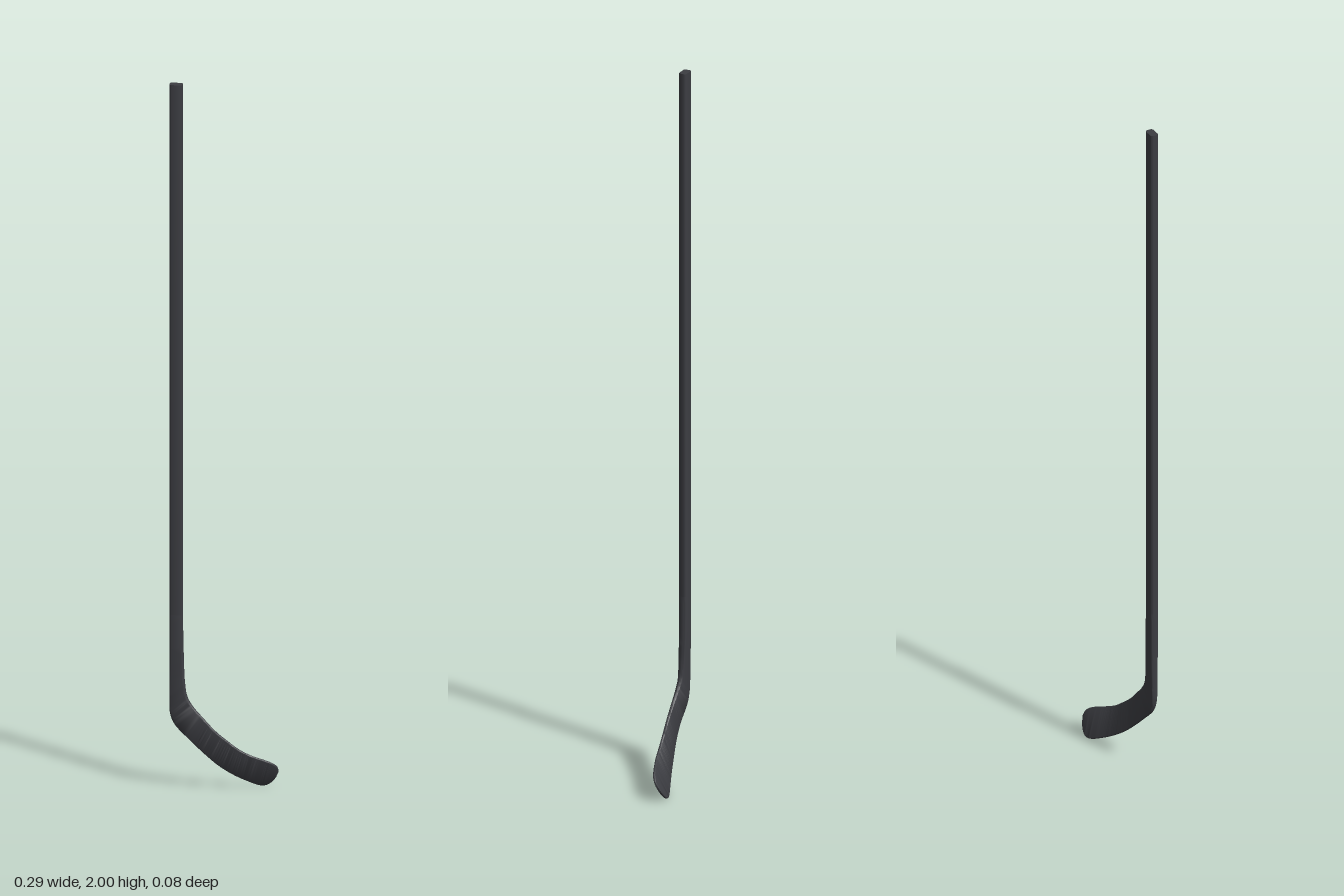
import * as THREE from 'three';
import { toCreasedNormals } from 'three/addons/utils/BufferGeometryUtils.js';

const CORNER_STEPS = 3;

// Rounded-rectangle ring of width w and thickness t, counter-clockwise
function roundedRing(w, t) {
  const r = Math.min(0.006, t * 0.42, w * 0.42);
  const ring = [];
  [[1, 1], [-1, 1], [-1, -1], [1, -1]].forEach(([sx, sy], k) => {
    for (let i = 0; i <= CORNER_STEPS; i++) {
      const a = (k + i / CORNER_STEPS) * Math.PI / 2;
      ring.push([sx * (w / 2 - r) + r * Math.cos(a), sy * (t / 2 - r) + r * Math.sin(a)]);
    }
  });
  return ring;
}

// Loft between an outer edge and an inner edge; each section is [outer, inner, thickness]
function loft(sections, steps) {
  const curve = pts => new THREE.CatmullRomCurve3(pts);
  const outer = curve(sections.map(s => new THREE.Vector3(...s[0])));
  const inner = curve(sections.map(s => new THREE.Vector3(...s[1])));
  const thick = curve(sections.map((s, i) => new THREE.Vector3(i, s[2], 0)));
  const middle = u => outer.getPoint(u).add(inner.getPoint(u)).multiplyScalar(0.5);
  const pos = [], index = [];
  const n = 4 * (CORNER_STEPS + 1);

  for (let i = 0; i <= steps; i++) {
    const u = i / steps;
    const across = inner.getPoint(u).sub(outer.getPoint(u));
    const width = across.length();
    across.normalize();
    const along = middle(Math.min(1, u + 0.004)).sub(middle(Math.max(0, u - 0.004)));
    const normal = along.cross(across).normalize();
    for (const [a, b] of roundedRing(width, thick.getPoint(u).y)) {
      const p = middle(u).addScaledVector(across, a).addScaledVector(normal, b);
      pos.push(p.x, p.y, p.z);
    }
  }
  for (let i = 0; i < steps; i++) {
    for (let j = 0; j < n; j++) {
      const a = i * n + j, b = i * n + (j + 1) % n;
      index.push(a, b, a + n, b, b + n, a + n);
    }
  }
  // End caps
  const last = steps * n;
  for (let j = 1; j < n - 1; j++) {
    index.push(0, j + 1, j, last, last + j, last + j + 1);
  }
  const geo = new THREE.BufferGeometry();
  geo.setAttribute('position', new THREE.Float32BufferAttribute(pos, 3));
  geo.setIndex(index);
  return toCreasedNormals(geo, 0.8);
}

export function createModel() {
  const group = new THREE.Group();
  group.name = 'hockeyStick';
  const material = new THREE.MeshStandardMaterial({ color: 0x3c3d42 });
  const add = (name, geometry) => {
    const mesh = new THREE.Mesh(geometry, material);
    mesh.name = name;
    group.add(mesh);
  };

  // Straight shaft with rounded corners
  add('shaft', loft([
    [[-0.144, 2, 0.028], [-0.109, 2, 0.028], 0.022],
    [[-0.144, 0.5, 0.028], [-0.109, 0.5, 0.028], 0.022],
  ], 1));

  // Hosel bending at the heel into the curved, tilted blade
  add('blade', loft([
    [[-0.144, 0.50, 0.028], [-0.109, 0.50, 0.028], 0.022],
    [[-0.144, 0.36, 0.028], [-0.106, 0.37, 0.028], 0.021],
    [[-0.144, 0.27, 0.028], [-0.103, 0.31, 0.029], 0.018],
    [[-0.143, 0.22, 0.028], [-0.096, 0.268, 0.029], 0.015],
    [[-0.132, 0.19, 0.027], [-0.080, 0.24, 0.0295], 0.013],
    [[-0.085, 0.14, 0.025], [-0.053, 0.209, 0.029], 0.010],
    [[-0.050, 0.104, 0.018], [-0.020, 0.173, 0.027], 0.009],
    [[-0.016, 0.071, 0.007], [0.012, 0.145, 0.022], 0.008],
    [[0.020, 0.044, -0.006], [0.042, 0.121, 0.017], 0.008],
    [[0.053, 0.024, -0.020], [0.074, 0.103, 0.010], 0.007],
    [[0.092, 0.006, -0.036], [0.112, 0.086, -0.004], 0.007],
    [[0.108, 0.007, -0.040], [0.130, 0.076, -0.012], 0.007],
    [[0.124, 0.018, -0.038], [0.141, 0.064, -0.020], 0.006],
    [[0.135, 0.033, -0.033], [0.143, 0.052, -0.026], 0.005],
  ], 78));

  return group;
}
